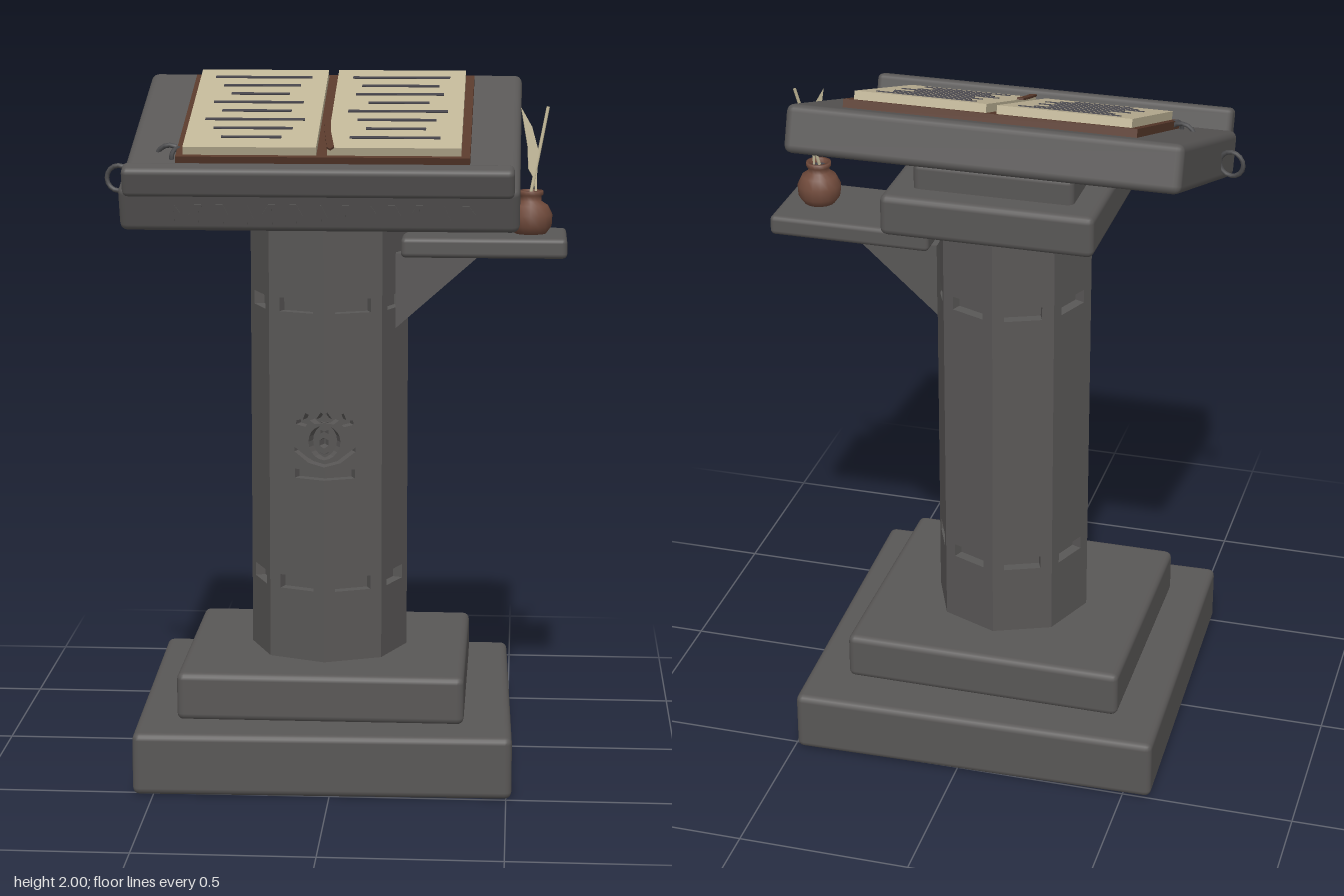
import * as THREE from 'three';
import { RoundedBoxGeometry } from 'three/addons/geometries/RoundedBoxGeometry.js';

const mat = (name, color) => {
  const m = new THREE.MeshStandardMaterial({ color });
  m.name = name;
  return m;
};

export function createModel() {
  const stone = mat('stone', 0x595756);
  const paper = mat('paper', 0xbfb496);
  const leather = mat('leather', 0x58392b);
  const clay = mat('clay', 0x704a3b);
  const ink = mat('ink', 0x46444a);
  const iron = mat('iron', 0x4a4a4c);
  const feather = mat('feather', 0xc2b898);
  feather.side = THREE.DoubleSide;

  const model = new THREE.Group();
  model.name = 'lectern';
  const CX = -0.033; // axis of the column

  const add = (parent, name, geometry, material, x = 0, y = 0, z = 0) => {
    const mesh = new THREE.Mesh(geometry, material);
    mesh.name = name;
    mesh.position.set(x, y, z);
    parent.add(mesh);
    return mesh;
  };
  const block = (parent, name, w, h, d, x, y, z, r = 0.02) =>
    add(parent, name, new RoundedBoxGeometry(w, h, d, 2, r), stone, x, y, z);
  const shapeOf = (pts) => new THREE.Shape(pts.map(([x, y]) => new THREE.Vector2(x, y)));
  const extrude = (shapes, depth) =>
    new THREE.ExtrudeGeometry(shapes, { depth, bevelEnabled: false, curveSegments: 8 });

  // Stepped base
  block(model, 'basePlinth', 1.075, 0.18, 1.03, CX, 0.09, 0).rotation.y = 0.023;
  block(model, 'upperPlinth', 0.825, 0.14, 0.75, CX - 0.003, 0.246, 0);

  // Octagonal column: inner core faced with carved panels
  const R = 0.23, DEPTH = 0.03, Y0 = 0.3, Y1 = 1.62;
  const apothem = R * Math.cos(Math.PI / 8);
  const half = R * Math.sin(Math.PI / 8);
  const coreR = (apothem - DEPTH) / Math.cos(Math.PI / 8);
  const core = new THREE.CylinderGeometry(coreR, coreR, Y1 - Y0, 8).toNonIndexed();
  core.computeVertexNormals();
  add(model, 'columnCore', core, stone, CX, (Y0 + Y1) / 2, 0);

  // Half of the emblem, as [distance from front edge, height]
  const eyeY = 0.967;
  const ring = [];
  for (let i = 0; i <= 10; i++) {
    const a = -Math.PI / 2 + (i / 10) * Math.PI;
    ring.push([0.05 * Math.cos(a), eyeY + 0.05 * Math.sin(a)]);
  }
  const carvedEdge = [
    [0, 0.857], [0.094, 0.857], [0.094, 0.884], [0, 0.884], // bar
    [0, 0.896], [0.05, 0.905], [0.095, 0.935], [0.095, 0.948], [0.05, 0.919], [0, 0.911], // curve
    ...ring,
    [0, 1.025], [0.03, 1.02], [0.045, 1.03], [0.06, 1.01], [0.09, 1.015], [0.088, 1.028], // crown
    [0.068, 1.03], [0.06, 1.05], [0.045, 1.045], [0.025, 1.035], [0.01, 1.056], [0, 1.05],
  ];
  const eye = [
    [0, -0.034], [0.029, -0.017], [0.029, 0.017], [0, 0.034],
    [0, 0.016], [0.014, 0.008], [0.014, -0.008], [0, -0.016],
  ].map(([d, y]) => [d, y + eyeY]);

  for (let i = 0; i < 8; i++) {
    const carved = i === 0 || i === 7;
    const s = i === 7 ? -1 : 1;
    const place = ([d, y]) => [s * (d - half), y];
    const edge = carved ? carvedEdge : [];
    const panel = shapeOf([[0, Y0], ...edge, [0, Y1], [2 * half, Y1], [2 * half, Y0]].map(place));
    for (const y of [0.545, 1.36]) {
      panel.holes.push(new THREE.Path([
        new THREE.Vector2(-0.054, y - 0.02), new THREE.Vector2(0.054, y - 0.02),
        new THREE.Vector2(0.054, y + 0.02), new THREE.Vector2(-0.054, y + 0.02),
      ]));
    }
    const shapes = carved ? [panel, shapeOf(eye.map(place))] : [panel];
    const geometry = extrude(shapes, DEPTH);
    geometry.translate(0, 0, apothem - DEPTH);
    add(model, 'columnPanel', geometry, stone, CX, 0, 0).rotation.y = ((i + 0.5) * Math.PI) / 4;
  }

  // Capital
  block(model, 'capital', 0.61, 0.12, 0.61, CX, 1.665, 0);
  block(model, 'capitalTop', 0.46, 0.12, 0.46, CX, 1.742, 0);

  // Sloping desk with a book stop
  const desk = new THREE.Group();
  desk.name = 'desk';
  desk.position.set(-0.035, 1.788, 0.0275);
  desk.rotation.x = 0.33;
  model.add(desk);
  block(desk, 'deskSlab', 1.11, 0.135, 0.82, 0, 0, 0, 0.022);
  block(desk, 'bookStop', 1.08, 0.085, 0.06, 0, 0.09, 0.402, 0.016);

  // Row of carved marks along the front edge
  for (let i = 0; i < 13; i++) {
    const f = i % 3 === 1 ? -1 : 1;
    const flag = 0.006 * (i % 4);
    const mark = [
      [-0.005, -0.033], [0.005, -0.033], [0.005, 0.01 - flag], [0.018, -0.004 - flag],
      [0.022, 0.006 - flag], [0.005, 0.033], [-0.014, 0.033], [-0.014, 0.024], [-0.005, 0.022],
    ].map(([x, y]) => [x * f, y]);
    add(desk, 'carvedMark', extrude(shapeOf(mark), 0.004), stone, -0.405 + i * 0.068, -0.012, 0.408);
  }

  // Open book
  add(desk, 'bookCover', new THREE.BoxGeometry(0.825, 0.024, 0.587), leather, 0.002, 0.079, -0.043);
  const lineWidths = [
    [0.285, 0.225, 0.17, 0.26, 0.2, 0.285, 0.225, 0.17],
    [0.285, 0.225, 0.255, 0.175, 0.285, 0.225, 0.17, 0.255],
  ];
  lineWidths.forEach((widths, side) => {
    const x = side ? 0.2025 : -0.2025;
    add(desk, side ? 'leftPages' : 'rightPages', new THREE.BoxGeometry(0.375, 0.025, 0.555),
      paper, x, 0.1025, -0.04);
    widths.forEach((w, row) =>
      add(desk, 'textLine', new THREE.BoxGeometry(w, 0.004, 0.013), ink, x, 0.1155, -0.259 + row * 0.0612));
  });

  // Ribbon bookmark lying in the gutter
  const ribbon = shapeOf([
    [-0.01, 0], [0.01, 0], [0.014, -0.07], [0.02, -0.15], [0.034, -0.245],
    [0.024, -0.262], [0.014, -0.25], [0.002, -0.15], [-0.006, -0.07],
  ]);
  const ribbonGeometry = extrude(ribbon, 0.006);
  ribbonGeometry.rotateX(-Math.PI / 2);
  add(desk, 'ribbon', ribbonGeometry, leather, 0.002, 0.117, 0.0);

  // Chain links on the right-hand edge
  const link = (x, y, z, r, yaw) => {
    add(model, 'chainLink', new THREE.TorusGeometry(r, 0.007, 6, 16), iron, x, y, z).rotation.y = yaw;
  };
  link(-0.62, 1.72, 0.188, 0.036, -0.2);
  link(-0.47, 1.775, 0.212, 0.042, -0.2);
  link(-0.445, 1.785, 0.235, 0.025, 0.9);

  // Side shelf on a wedge bracket
  block(model, 'shelf', 0.475, 0.058, 0.28, 0.418, 1.52, -0.003, 0.014);
  add(model, 'shelfBracket', extrude(shapeOf([[0.165, 1.5], [0.165, 1.283], [0.41, 1.5]]), 0.215),
    stone, 0, 0, -0.1075);

  // Ink pot
  const potProfile = [
    [0, 0], [0.045, 0], [0.061, 0.022], [0.063, 0.055], [0.05, 0.082], [0.031, 0.094],
    [0.03, 0.108], [0.036, 0.112], [0.036, 0.124], [0.026, 0.124], [0.024, 0.108],
  ].map(([x, y]) => new THREE.Vector2(x, y));
  add(model, 'inkPot', new THREE.LatheGeometry(potProfile, 16), clay, 0.55, 1.549, 0);
  const inkDisc = new THREE.CircleGeometry(0.026, 16);
  inkDisc.rotateX(-Math.PI / 2);
  add(model, 'inkSurface', inkDisc, ink, 0.55, 1.66, 0);

  // Quill with a broad vane, and a bare reed pen
  const vane = shapeOf([
    [0, 0], [-0.004, 0.06], [-0.022, 0.09], [-0.024, 0.15], [-0.045, 0.265],
    [-0.012, 0.21], [0.008, 0.14], [0.004, 0.07], [0.004, 0],
  ]);
  add(model, 'quill', extrude(vane, 0.005), feather, 0.562, 1.645, 0).rotation.set(-0.14, 0.25, 0);
  const pen = new THREE.LineCurve3(new THREE.Vector3(0.545, 1.64, 0.01), new THREE.Vector3(0.597, 1.91, -0.05));
  add(model, 'reedPen', new THREE.TubeGeometry(pen, 1, 0.005, 6), feather);

  return model;
}
